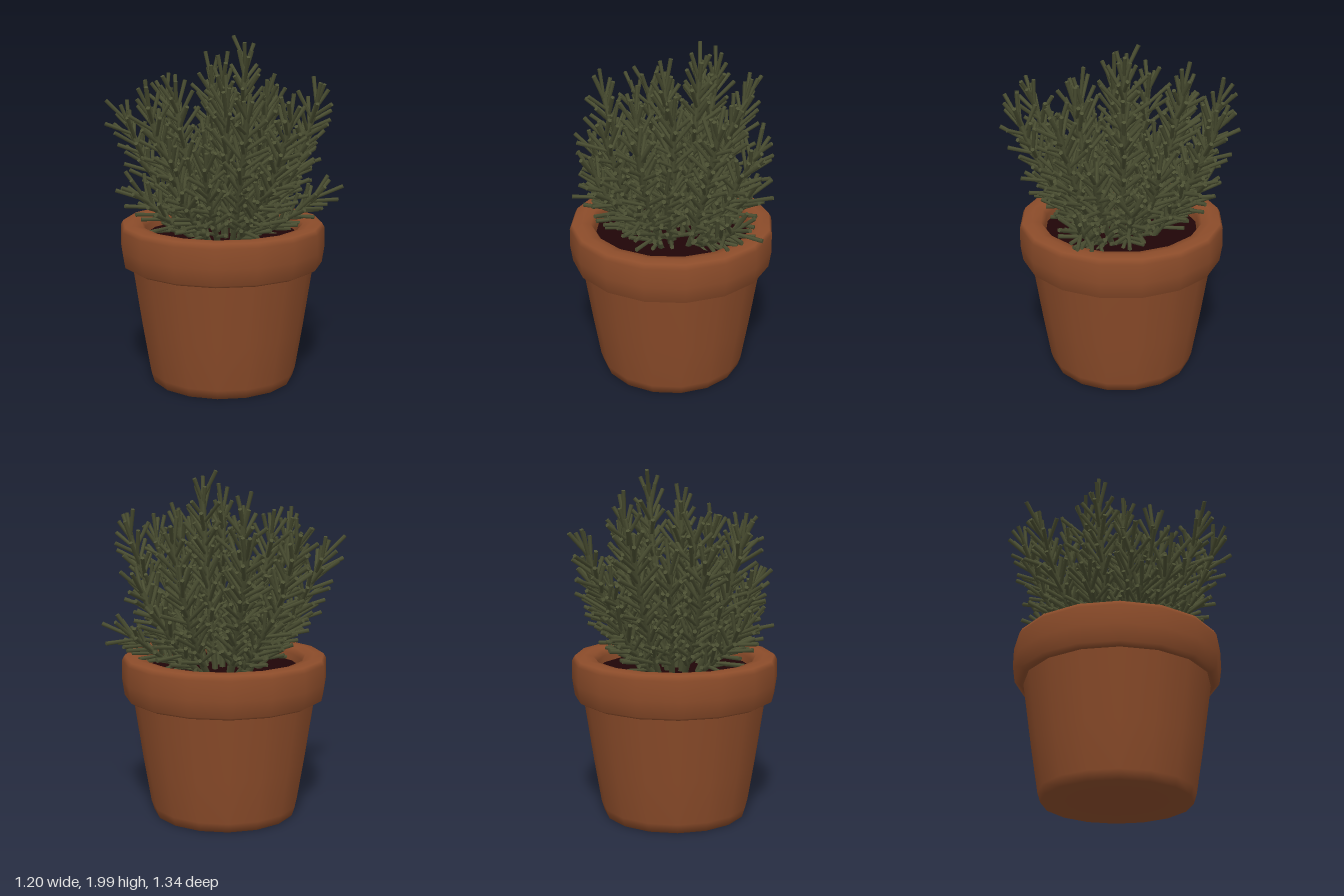
import * as THREE from 'three';
import { mergeGeometries } from 'three/addons/utils/BufferGeometryUtils.js';

const UP = new THREE.Vector3(0, 1, 0);
const SOIL_Y = 0.86;

// small seeded generator so the plant is always the same
function seeded(seed) {
  return () => {
    seed = (seed * 1664525 + 1013904223) % 4294967296;
    return seed / 4294967296;
  };
}

// stem tip positions: x, y, z
const TIPS = [
  // tall crown
  [0.15, 1.84, 0.01], [-0.04, 1.75, 0.03], [0.17, 1.73, -0.31], [0.07, 1.66, 0.27],
  [-0.2, 1.64, -0.2], [-0.16, 1.62, 0.2], [0.35, 1.6, 0.05],
  // outer tall ring
  [0.02, 1.6, -0.56], [0.32, 1.55, -0.46], [-0.35, 1.5, -0.45], [-0.45, 1.62, -0.13],
  [-0.04, 1.57, 0.57], [0.34, 1.63, 0.4], [-0.25, 1.6, 0.46], [-0.13, 1.46, -0.4],
  // middle ring
  [0.46, 1.36, -0.12], [0.43, 1.34, 0.22], [-0.45, 1.35, 0.06], [-0.38, 1.28, 0.27],
  [0.06, 1.28, 0.38], [0.22, 1.35, -0.37], [0.02, 1.38, -0.2],
  // low side shoots
  [0.44, 1.14, 0.02], [-0.46, 1.12, -0.18], [0.43, 1.07, 0.31], [-0.1, 1.13, 0.4],
  [0.14, 1.14, -0.44], [-0.42, 1.12, 0.12],
];

// one stem with slanted needles spiralling round it
function sprigGeometry(tip, rand) {
  const end = new THREE.Vector3(...tip);
  const root = new THREE.Vector3(tip[0] * 0.35, SOIL_Y - 0.02, tip[2] * 0.35);
  const mid = new THREE.Vector3(tip[0] * 0.74, SOIL_Y + (tip[1] - SOIL_Y) * 0.42, tip[2] * 0.74);
  const curve = new THREE.QuadraticBezierCurve3(root, mid, end);
  const length = curve.getLength();
  const parts = [new THREE.TubeGeometry(curve, 8, 0.018, 5)];

  const count = Math.round(length * 54) + 6;
  for (let i = 0; i < count; i++) {
    const t = 0.12 + 0.88 * (i / (count - 1));
    const axis = curve.getTangent(t);
    const side = new THREE.Vector3(1, 0, 0).cross(axis).normalize()
      .applyAxisAngle(axis, i * 2.4 + rand() * 0.6);
    // needles close in around the stem towards the tip
    const slant = (t > 0.92 ? 0.35 : 0.72) + (rand() - 0.5) * 0.4;
    const dir = axis.clone().multiplyScalar(Math.cos(slant)).addScaledVector(side, Math.sin(slant));
    const size = 0.12 + rand() * 0.07;
    const needle = new THREE.CylinderGeometry(0.0125, 0.01, size, 5);
    needle.translate(0, size / 2, 0);
    needle.applyQuaternion(new THREE.Quaternion().setFromUnitVectors(UP, dir));
    const p = curve.getPoint(t);
    needle.translate(p.x, p.y, p.z);
    parts.push(needle);
  }
  return mergeGeometries(parts);
}

// lathe from [radius, height] pairs, running from the bottom outside upwards
function turned(points, segments) {
  return new THREE.LatheGeometry(points.map(([r, y]) => new THREE.Vector2(r, y)), segments);
}

export function createModel() {
  const model = new THREE.Group();
  const material = (name, color) => {
    const made = new THREE.MeshStandardMaterial({ color });
    made.name = name;
    return made;
  };
  const terracotta = material('terracotta', 0x8c4c2a);
  const earth = material('dark earth', 0x200507);
  const green = material('needle green', 0x4b4f32);

  const add = (name, geometry, surface, parent) => {
    const mesh = new THREE.Mesh(geometry, surface);
    mesh.name = name;
    parent.add(mesh);
    return mesh;
  };

  // tapered pot with a softly shaded base and a thick rounded collar
  const pot = new THREE.Group();
  pot.name = 'pot';
  pot.position.set(-0.014, 0, -0.008);
  model.add(pot);
  add('potBody', turned([
    [0, 0.02], [0.22, 0.02], [0.415, 0.006], [0.432, 0.06], [0.475, 0.32], [0.533, 0.71],
  ], 16), terracotta, pot);
  add('potRim', turned([
    [0.5, 0.7], [0.55, 0.688], [0.58, 0.705], [0.594, 0.8], [0.592, 0.91], [0.577, 0.937],
    [0.52, 0.942], [0.47, 0.932], [0.448, 0.9], [0.442, 0.82],
  ], 16), terracotta, pot);

  // soil inside the collar
  const soil = add('soil', new THREE.CircleGeometry(0.46, 16), earth, pot);
  soil.rotation.x = -Math.PI / 2;
  soil.position.y = SOIL_Y;

  // bushy plant
  const plant = new THREE.Group();
  plant.name = 'plant';
  model.add(plant);
  const rand = seeded(7);
  TIPS.forEach((tip, i) => add('sprig' + (i + 1), sprigGeometry(tip, rand), green, plant));

  return model;
}
